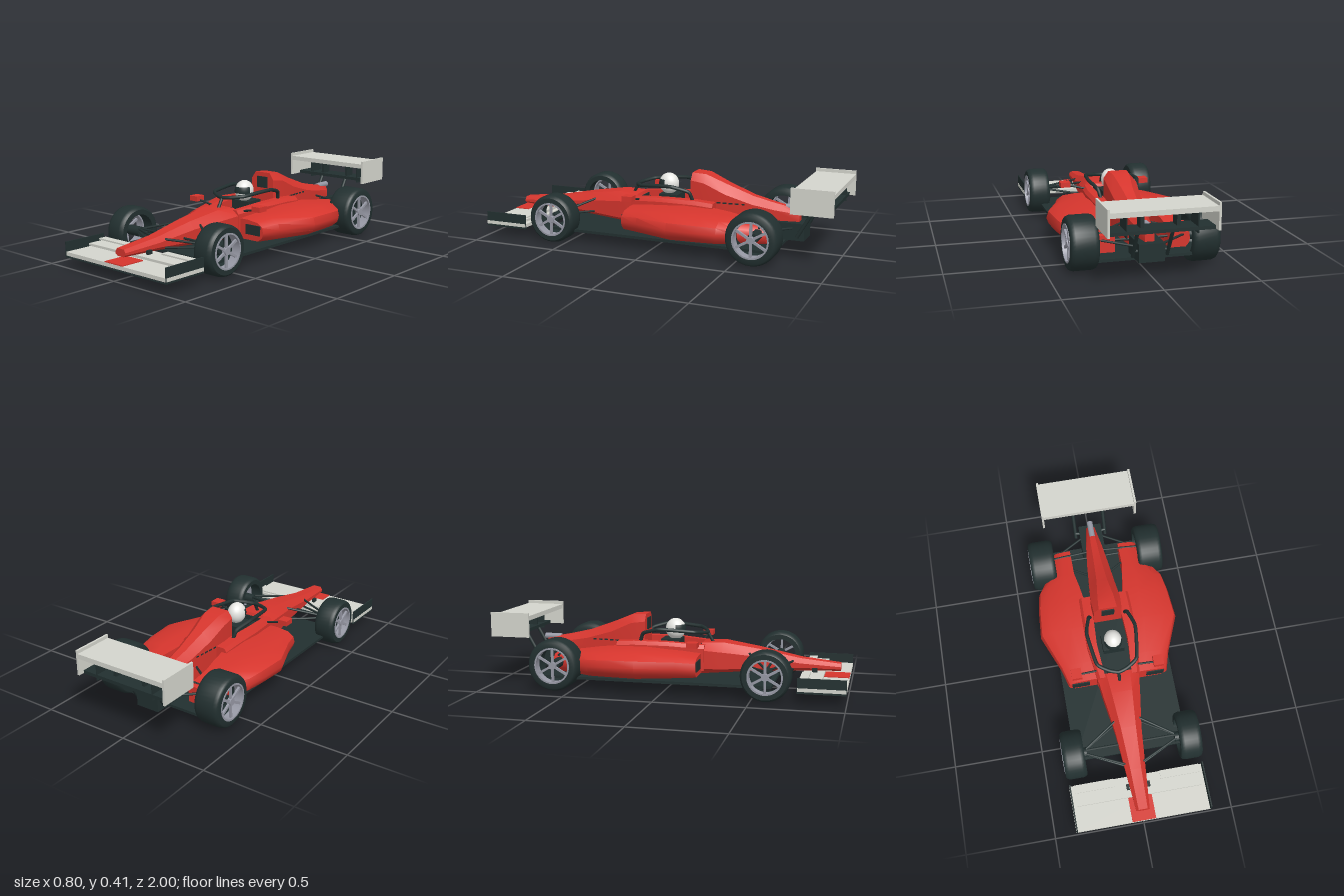
import * as THREE from 'three';
import { toCreasedNormals } from 'three/addons/utils/BufferGeometryUtils.js';

const mat = (name, color, side = THREE.FrontSide) => {
  const m = new THREE.MeshStandardMaterial({ color, side });
  m.name = name;
  return m;
};

export function createModel() {
  const car = new THREE.Group();
  car.name = 'racingCar';
  const red = mat('bodyRed', 0xd6352d);
  const dark = mat('darkTrim', 0x223030);
  const pale = mat('wingGrey', 0xd4d5cd);
  const white = mat('helmetWhite', 0xecece8);
  const metal = mat('metal', 0x9698a4, THREE.DoubleSide);

  const add = (name, geo, m, x = 0, y = 0, z = 0, parent = car) => {
    const mesh = new THREE.Mesh(geo, m);
    mesh.name = name;
    mesh.position.set(x, y, z);
    parent.add(mesh);
    return mesh;
  };
  // box given by its limits
  const box = (name, m, x0, x1, y0, y1, z0, z1) =>
    add(name, new THREE.BoxGeometry(Math.abs(x1 - x0), y1 - y0, z1 - z0), m,
      (x0 + x1) / 2, (y0 + y1) / 2, (z0 + z1) / 2);
  // round rod between two points
  const rod = (name, m, a, b, r) => {
    const p = new THREE.Vector3(...a), q = new THREE.Vector3(...b);
    const d = q.clone().sub(p);
    const mesh = add(name, new THREE.CylinderGeometry(r, r, d.length(), 8), m);
    mesh.position.copy(p).add(q).multiplyScalar(0.5);
    mesh.quaternion.setFromUnitVectors(new THREE.Vector3(0, 1, 0), d.normalize());
  };
  // skin through rings (counter-clockwise seen from the front), front to back
  const loft = (rings, crease = 0.6) => {
    const n = rings[0].pts.length, pos = [], idx = [];
    rings.forEach(({ z, pts }) => pts.forEach(([x, y]) => pos.push(x, y, z)));
    for (let i = 0; i < rings.length - 1; i++) {
      for (let j = 0; j < n; j++) {
        const a = i * n + j, b = i * n + (j + 1) % n;
        idx.push(a, a + n, b, b, a + n, b + n);
      }
    }
    const last = (rings.length - 1) * n;
    for (let j = 1; j < n - 1; j++) idx.push(0, j, j + 1, last, last + j + 1, last + j);
    const g = new THREE.BufferGeometry();
    g.setAttribute('position', new THREE.Float32BufferAttribute(pos, 3));
    g.setIndex(idx);
    return toCreasedNormals(g, crease);
  };
  // symmetric hull: [z, bottom half-width, bottom y, half-width, low y, shoulder y, top half-width, top y]
  const hull = rows => loft(rows.map(([z, wb, yb, w, ym, ys, wt, yt]) => {
    const half = [[wb, yb], [w, ym], [w, ys], [wt, yt]];
    return { z, pts: [...half, ...half.map(([x, y]) => [-x, y]).reverse()] };
  }));
  const sided = (s, pts) => s > 0 ? pts : pts.map(([x, y]) => [-x, y]).reverse();

  // nose and cockpit tub
  add('noseAndTub', hull([
    [0.95, 0.022, 0.117, 0.037, 0.128, 0.14, 0.025, 0.157],
    [0.73, 0.035, 0.112, 0.056, 0.13, 0.155, 0.03, 0.18],
    [0.5, 0.05, 0.1, 0.075, 0.12, 0.185, 0.042, 0.225],
    [0.3, 0.07, 0.088, 0.105, 0.11, 0.205, 0.058, 0.255],
    [0.18, 0.09, 0.08, 0.12, 0.11, 0.215, 0.068, 0.25],
    [0.165, 0.09, 0.08, 0.12, 0.11, 0.19, 0.09, 0.2],
    [-0.3, 0.11, 0.08, 0.14, 0.11, 0.19, 0.09, 0.2]]), red);
  box('cockpitFloor', dark, -0.088, 0.088, 0.2, 0.209, -0.2, 0.168);
  box('cockpitFront', dark, -0.06, 0.06, 0.2, 0.235, 0.163, 0.17);

  // engine cover with air intake
  add('engineCover', hull([
    [-0.15, 0.08, 0.1, 0.08, 0.25, 0.36, 0.052, 0.4],
    [-0.23, 0.082, 0.1, 0.085, 0.25, 0.35, 0.045, 0.395],
    [-0.35, 0.075, 0.1, 0.075, 0.22, 0.295, 0.03, 0.345],
    [-0.5, 0.06, 0.1, 0.062, 0.2, 0.25, 0.022, 0.29],
    [-0.62, 0.045, 0.1, 0.048, 0.19, 0.228, 0.018, 0.262],
    [-0.76, 0.02, 0.12, 0.025, 0.17, 0.21, 0.012, 0.235]]), red);
  box('airIntake', dark, -0.036, 0.036, 0.31, 0.375, -0.15, -0.143);
  const pipe = add('exhaust', new THREE.CylinderGeometry(0.017, 0.017, 0.1, 16, 1, true), metal, 0, 0.243, -0.73);
  pipe.rotation.x = Math.PI / 2;

  // floor and gearbox
  box('floor', dark, -0.32, 0.32, 0.06, 0.075, -0.7, 0.605);
  box('gearbox', dark, -0.068, 0.068, 0.075, 0.17, -0.8, -0.62);

  // helmet and visor
  const helmet = add('helmet', new THREE.SphereGeometry(0.055, 28, 20), white, 0, 0.315, 0.012);
  helmet.scale.set(0.92, 1.1, 1.05);
  const visor = add('visor', new THREE.SphereGeometry(0.0565, 24, 6, 0.15, Math.PI - 0.3, 1.12, 0.6), dark, 0, 0.315, 0.012);
  visor.scale.copy(helmet.scale);
  box('driverShoulders', dark, -0.06, 0.06, 0.205, 0.262, -0.06, 0.05);

  // cockpit protection hoop
  const hoop = [[-0.1, 0.25, -0.17], [-0.112, 0.3, -0.15], [-0.138, 0.326, -0.06], [-0.135, 0.326, 0],
    [-0.112, 0.315, 0.14], [-0.05, 0.306, 0.185], [0, 0.302, 0.2]];
  const path = [...hoop, ...hoop.slice(0, -1).reverse().map(([x, y, z]) => [-x, y, z])];
  const curve = new THREE.CatmullRomCurve3(path.map(p => new THREE.Vector3(...p)), false, 'catmullrom', 0.25);
  add('hoop', new THREE.TubeGeometry(curve, 72, 0.0105, 8), dark);
  rod('hoopPillar', dark, [0, 0.305, 0.198], [0, 0.24, 0.235], 0.009);

  // front wing
  box('frontWing', pale, -0.372, 0.372, 0.067, 0.087, 0.745, 1);
  box('frontWingUnderside', dark, -0.372, 0.372, 0.056, 0.0605, 0.99, 0.998);
  box('frontWingCentre', red, -0.066, 0.066, 0.086, 0.092, 0.86, 0.999);
  box('frontFlap', pale, -0.35, 0.35, 0.098, 0.111, 0.75, 0.865);

  // rear wing
  box('rearWing', pale, -0.268, 0.268, 0.37, 0.396, -1, -0.775);
  box('rearLowerWing', dark, -0.265, 0.265, 0.275, 0.293, -0.97, -0.855);

  const wheel = (name, s, x, z, R, w) => {
    const g = new THREE.Group();
    g.name = name;
    g.position.set(s * x, R, z);
    g.rotation.z = -s * Math.PI / 2; // local +y points outwards
    car.add(g);
    const ring = (pts, seg) => toCreasedNormals(
      new THREE.LatheGeometry(pts.map(([r, h]) => new THREE.Vector2(r, h)), seg), 0.7);
    const h = w / 2, q = 0.7 * R;
    add('tyre', ring([[q, -h], [0.9 * R, -h], [0.96 * R, -h + 0.007], [R, -h + 0.024], [R, h - 0.024],
      [0.96 * R, h - 0.007], [0.9 * R, h], [q, h], [q, -h]], 40), dark, 0, 0, 0, g);
    add('rim', ring([[q - 0.008, h - 0.05], [q + 0.001, h - 0.05], [q + 0.001, h + 0.003],
      [q - 0.008, h + 0.003], [q - 0.008, h - 0.05]], 40), metal, 0, 0, 0, g);
    add('hub', new THREE.CylinderGeometry(0.02, 0.02, 0.022, 16), metal, 0, h - 0.012, 0, g);
    add('axle', new THREE.CylinderGeometry(0.028, 0.028, w * 0.8, 16), dark, 0, -0.1 * w - 0.015, 0, g);
    for (let i = 0; i < 6; i++) {
      const a = i * Math.PI / 3;
      const spoke = add('spoke', new THREE.BoxGeometry(q - 0.008, 0.012, 0.013), metal,
        Math.cos(a) * q / 2, h - 0.013, -Math.sin(a) * q / 2, g);
      spoke.rotation.y = a;
    }
  };

  // paired parts
  for (const s of [1, -1]) {
    const side = s > 0 ? 'left' : 'right';
    wheel(side + 'FrontWheel', s, 0.325, 0.578, 0.135, 0.12);
    wheel(side + 'RearWheel', s, 0.318, -0.597, 0.143, 0.145);

    // sidepod: [z, inner x, outer x, bottom y, top y]
    const pod = [[0.185, 0.11, 0.285, 0.088, 0.2], [0.08, 0.11, 0.315, 0.085, 0.213], [-0.13, 0.11, 0.4, 0.085, 0.23],
      [-0.3, 0.115, 0.387, 0.085, 0.225], [-0.4, 0.13, 0.37, 0.085, 0.217], [-0.48, 0.145, 0.315, 0.085, 0.207], [-0.64, 0.145, 0.255, 0.09, 0.185]];
    add(side + 'Sidepod', loft(pod.map(([z, a, b, y0, y1]) => {
      const h = y1 - y0, w = b - a;
      return { z, pts: sided(s, [[a, y0], [b - w * 0.2, y0], [b - w * 0.04, y0 + h * 0.22], [b, y0 + h * 0.45],
        [b - w * 0.04, y0 + h * 0.72], [b - w * 0.25, y0 + h * 0.93], [a + w * 0.35, y1], [a, y1]]) };
    }), 0.75), red);
    box(side + 'PodInlet', dark, s * 0.165, s * 0.265, 0.12, 0.175, 0.184, 0.191);

    // cockpit side wall
    const wall = [[0.2, 0.075, 0.12, 0.243], [0, 0.09, 0.148, 0.257], [-0.2, 0.08, 0.148, 0.257], [-0.3, 0.07, 0.145, 0.25]];
    add(side + 'CockpitWall', loft(wall.map(([z, a, b, y]) => (
      { z, pts: sided(s, [[a, 0.1], [b, 0.1], [b, y - 0.02], [b - 0.015, y], [a, y]]) }))), red);

    // vents along the engine cover
    for (let i = 0; i < 5; i++) {
      const z = -0.315 - i * 0.034;
      const x = 0.078 - i * 0.0033;
      box(side + 'Vent', dark, s * (x - 0.006), s * (x + 0.002), 0.243, 0.251, z - 0.011, z + 0.011);
    }

    // mirror
    box(side + 'Mirror', red, s * 0.205, s * 0.262, 0.25, 0.279, 0.13, 0.19);
    rod(side + 'MirrorStalk', dark, [s * 0.21, 0.255, 0.16], [s * 0.12, 0.235, 0.15], 0.006);

    // front wing fittings
    box(side + 'FrontEndplate', dark, s * 0.37, s * 0.377, 0.058, 0.14, 0.745, 1);
    box(side + 'EndplateStripe', pale, s * 0.376, s * 0.379, 0.069, 0.088, 0.747, 0.999);
    box(side + 'UpperFlap', pale, s * 0.13, s * 0.35, 0.117, 0.125, 0.75, 0.795);
    box(side + 'FrontWingPylon', dark, s * 0.05, s * 0.066, 0.085, 0.132, 0.795, 0.825);

    // rear wing fittings
    box(side + 'RearEndplate', pale, s * 0.268, s * 0.28, 0.275, 0.414, -1, -0.773);
    box(side + 'RearWingFin', dark, s * 0.175, s * 0.181, 0.26, 0.37, -0.97, -0.86);
    rod(side + 'RearWingPylon', dark, [s * 0.09, 0.1, -0.765], [s * 0.09, 0.285, -0.87], 0.01);
    box(side + 'RearWingStay', dark, s * 0.082, s * 0.1, 0.285, 0.37, -0.93, -0.87);
    rod(side + 'PylonFoot', dark, [s * 0.04, 0.13, -0.77], [s * 0.09, 0.13, -0.778], 0.009);

    // suspension arms: [inner point, outer point]
    [[[0.05, 0.165, 0.69], [0.27, 0.152, 0.585]], [[0.07, 0.2, 0.45], [0.27, 0.148, 0.575]],
      [[0.05, 0.12, 0.69], [0.27, 0.14, 0.585]], [[0.07, 0.125, 0.45], [0.27, 0.14, 0.575]],
      [[0.06, 0.15, 0.57], [0.28, 0.15, 0.57]],
      [[0.05, 0.14, -0.74], [0.26, 0.16, -0.61]], [[0.06, 0.19, -0.46], [0.26, 0.165, -0.59]],
      [[0.04, 0.14, -0.6], [0.27, 0.145, -0.6]], [[0.04, 0.2, -0.61], [0.26, 0.18, -0.605]],
    ].forEach(([a, b]) => rod(side + 'SuspensionArm', dark, [s * a[0], a[1], a[2]], [s * b[0], b[1], b[2]], 0.0065));
  }
  return car;
}
